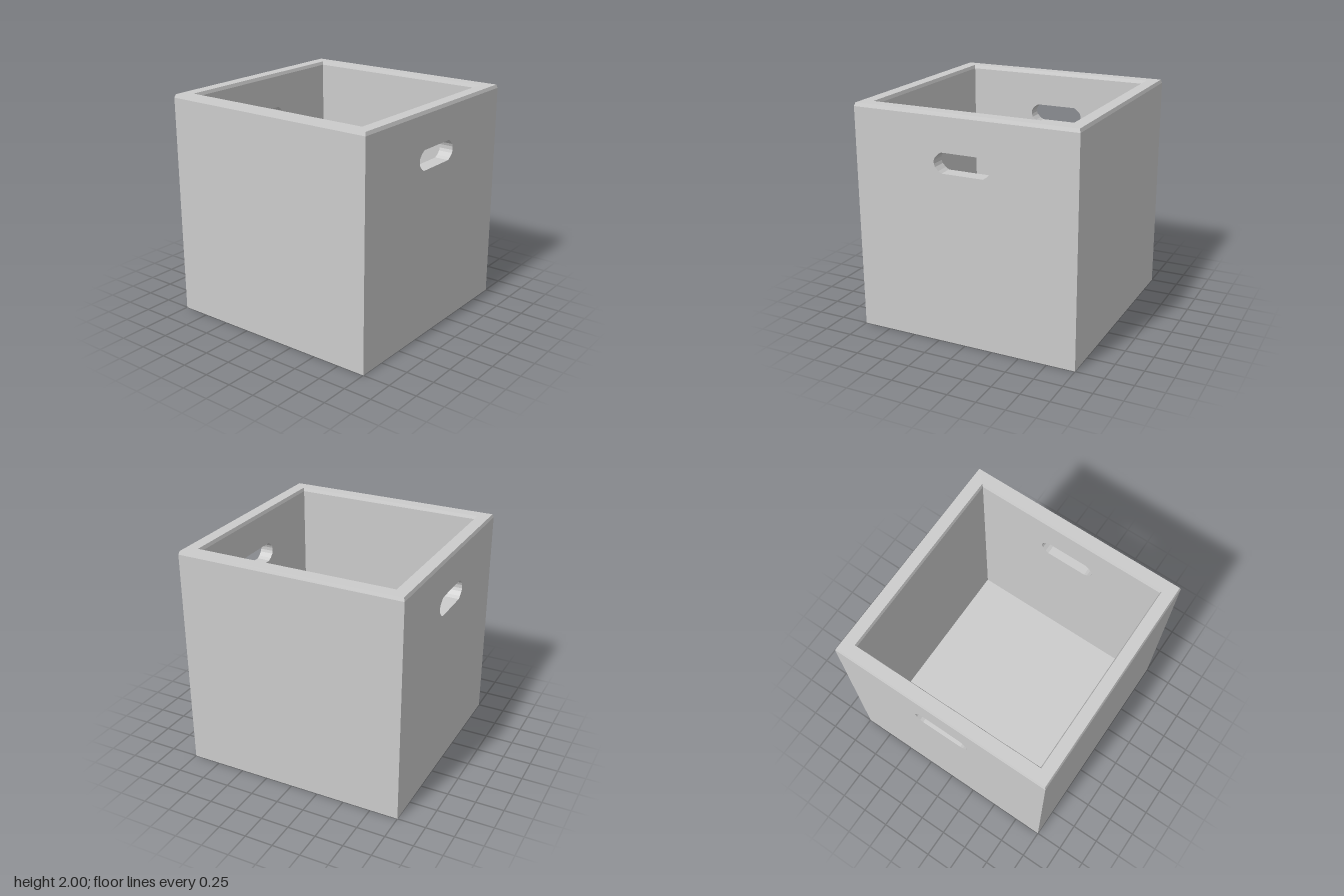
import * as THREE from 'three';

const OUT = 1, INN = 0.875, TOP = 1.97, FLOOR = 0.12;

const material = new THREE.MeshStandardMaterial({ color: 0xcccccc, flatShading: true });
const thinMaterial = material.clone();
thinMaterial.side = THREE.DoubleSide;

function add(group, name, geometry, mat = material) {
  const mesh = new THREE.Mesh(geometry, mat);
  mesh.name = name;
  group.add(mesh);
  return mesh;
}

// Square ring swept from a profile of [half width, height]
function squareLathe(profile) {
  const points = profile.map(([h, y]) => new THREE.Vector2(h * Math.SQRT2, y));
  return new THREE.LatheGeometry(points, 4).rotateY(Math.PI / 4);
}

// Outline of the hand slot: straight top and bottom, rounded ends
function slotPoints() {
  const quarter = [[0.255, 0.015], [0.245, 0.04], [0.215, 0.07], [0.187, 0.0875]];
  const right = [...quarter.map(([x, y]) => [x, -y]).reverse(), ...quarter];
  const left = right.map(([x, y]) => [-x, -y]);
  return [...right, ...left].map(([x, y]) => new THREE.Vector2(x, 1.587 + y));
}

// Flat wall face in the xy plane, optionally pierced by the slot
function wallFace(half, bottom, pierced) {
  const shape = new THREE.Shape([
    new THREE.Vector2(-half, bottom), new THREE.Vector2(half, bottom),
    new THREE.Vector2(half, TOP), new THREE.Vector2(-half, TOP),
  ]);
  if (pierced) shape.holes.push(new THREE.Path(slotPoints()));
  return new THREE.ShapeGeometry(shape);
}

// Lining of the slot through the wall thickness
function slotLining() {
  const points = slotPoints(), positions = [], index = [];
  points.forEach((p, i) => {
    positions.push(p.x, p.y, INN, p.x, p.y, OUT);
    const a = 2 * i, b = 2 * ((i + 1) % points.length);
    index.push(a, a + 1, b, b, a + 1, b + 1);
  });
  const geometry = new THREE.BufferGeometry();
  geometry.setAttribute('position', new THREE.Float32BufferAttribute(positions, 3));
  geometry.setIndex(index);
  geometry.computeVertexNormals();
  return geometry;
}

export function createModel() {
  const box = new THREE.Group();
  box.name = 'storageBox';

  // Four walls; front and back carry the hand slots
  ['frontWall', 'leftWall', 'backWall', 'rightWall'].forEach((name, i) => {
    const wall = new THREE.Group();
    wall.name = name;
    wall.rotation.y = i * Math.PI / 2;
    const pierced = i % 2 === 0;
    add(wall, 'outerFace', wallFace(OUT, 0, pierced).translate(0, 0, OUT));
    add(wall, 'innerFace', wallFace(INN, FLOOR, pierced).rotateY(Math.PI).translate(0, 0, INN));
    if (pierced) add(wall, 'handSlot', slotLining(), thinMaterial);
    box.add(wall);
  });

  // Rim with bevelled outer and inner edges
  add(box, 'rim', squareLathe([[OUT, TOP], [0.99, 2], [0.885, 2], [INN, TOP]]));

  // Underside and inside floor
  add(box, 'underside', new THREE.PlaneGeometry(2 * OUT, 2 * OUT).rotateX(Math.PI / 2));
  add(box, 'floor', new THREE.PlaneGeometry(2 * INN, 2 * INN).rotateX(-Math.PI / 2).translate(0, FLOOR, 0));

  return box;
}
